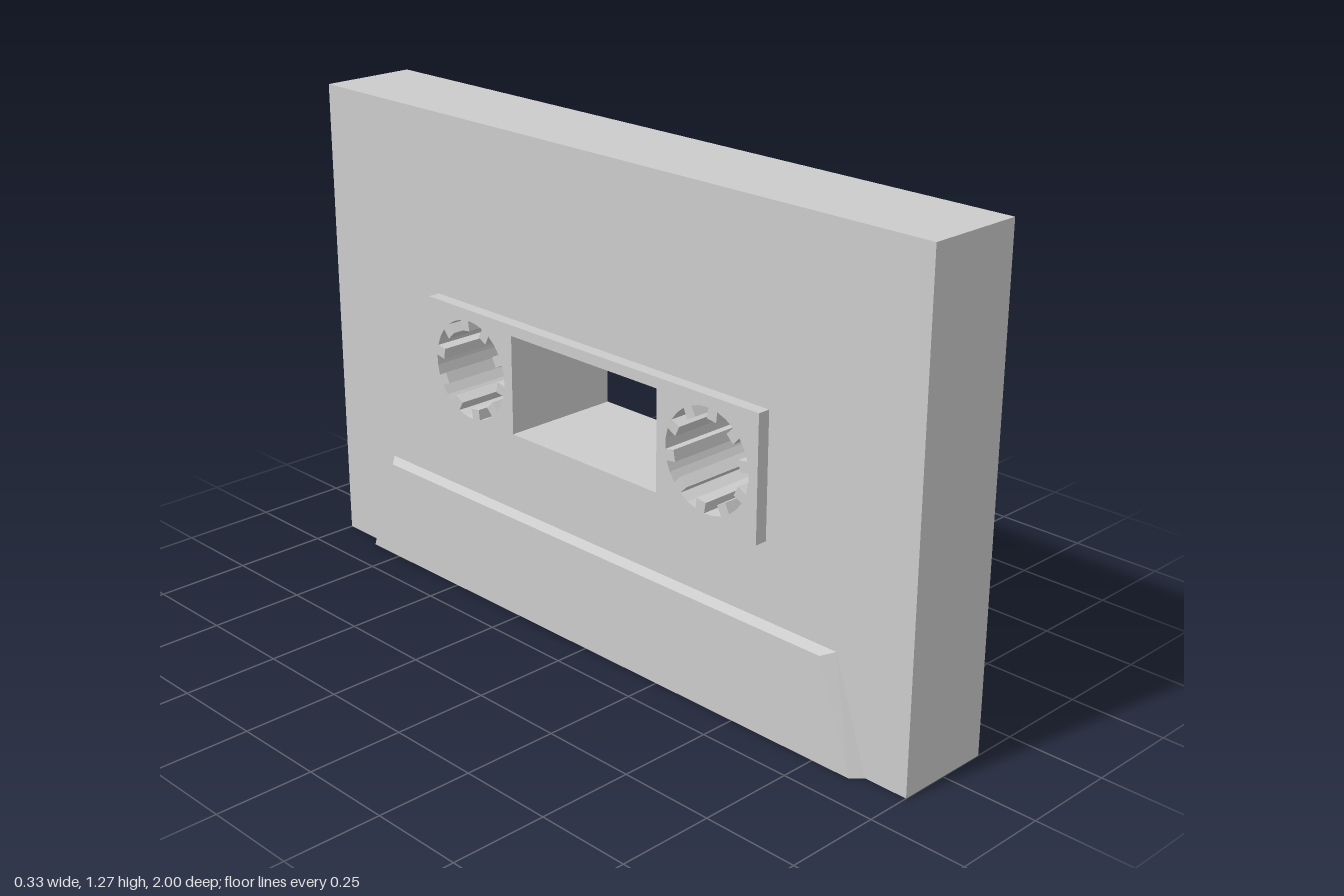
import * as THREE from 'three';

const HALF = 0.13; // half thickness of the shell
const material = new THREE.MeshStandardMaterial({ color: 0xcccccc, flatShading: true });

const polygon = (pts) => pts.map(([x, y]) => new THREE.Vector2(x, y));
const rect = (w, y0, y1) => polygon([[-w, y0], [w, y0], [w, y1], [-w, y1]]);

// Toothed spool opening: ten flared slots around a smaller circle
function spoolHole(side) {
  const pts = [];
  const teeth = 10, cy = 0.635;
  for (let i = 0; i < teeth; i++) {
    const mid = 80 + i * 360 / teeth;
    for (const [r, a] of [[0.104, -10], [0.131, -12], [0.131, 0], [0.131, 12], [0.104, 10]]) {
      const t = THREE.MathUtils.degToRad(mid + a);
      pts.push(new THREE.Vector2(side * (0.413 - r * Math.cos(t)), cy + r * Math.sin(t)));
    }
  }
  return pts;
}

// Extrudes a side-on outline along x, starting at the given x
function slab(outline, holes, start, depth) {
  const shape = new THREE.Shape(outline);
  shape.holes = holes.map((h) => new THREE.Path(h));
  const geo = new THREE.ExtrudeGeometry(shape, { depth, bevelEnabled: false });
  return geo.translate(0, 0, start).rotateY(Math.PI / 2);
}

function addMesh(parent, name, geo) {
  const mesh = new THREE.Mesh(geo, material);
  mesh.name = name;
  parent.add(mesh);
  return mesh;
}

export function createModel() {
  const group = new THREE.Group();
  group.name = 'cassette';
  const openings = () => [rect(0.253, 0.507, 0.767), spoolHole(1), spoolHole(-1)];

  // Shell, pierced by the window and both spool openings
  addMesh(group, 'shell', slab(rect(1, 0, 1.27), openings(), -HALF, 2 * HALF));

  // Raised parts, the same on both faces
  const panelGeo = slab(rect(0.57, 0.477, 0.795), openings(), HALF, 0.033);

  // Trapezoid whose outer face is drawn in to slope its edges
  const trapezoid = polygon([[-0.883, 0], [0.883, 0], [0.787, 0.28], [-0.787, 0.28]]);
  const plateGeo = slab(trapezoid, [], HALF, 0.027);
  const pos = plateGeo.attributes.position;
  for (let i = 0; i < pos.count; i++) {
    if (pos.getX(i) < HALF + 0.01) continue;
    pos.setZ(i, pos.getZ(i) - Math.sign(pos.getZ(i)) * 0.026);
    if (pos.getY(i) > 0.1) pos.setY(i, 0.27);
  }
  plateGeo.computeVertexNormals();

  for (const [side, turn] of [['left', 0], ['right', Math.PI]]) {
    const face = new THREE.Group();
    face.name = side + 'Face';
    addMesh(face, side + 'WindowPanel', panelGeo);
    addMesh(face, side + 'HeadPlate', plateGeo);
    face.rotation.y = turn;
    group.add(face);
  }
  return group;
}
